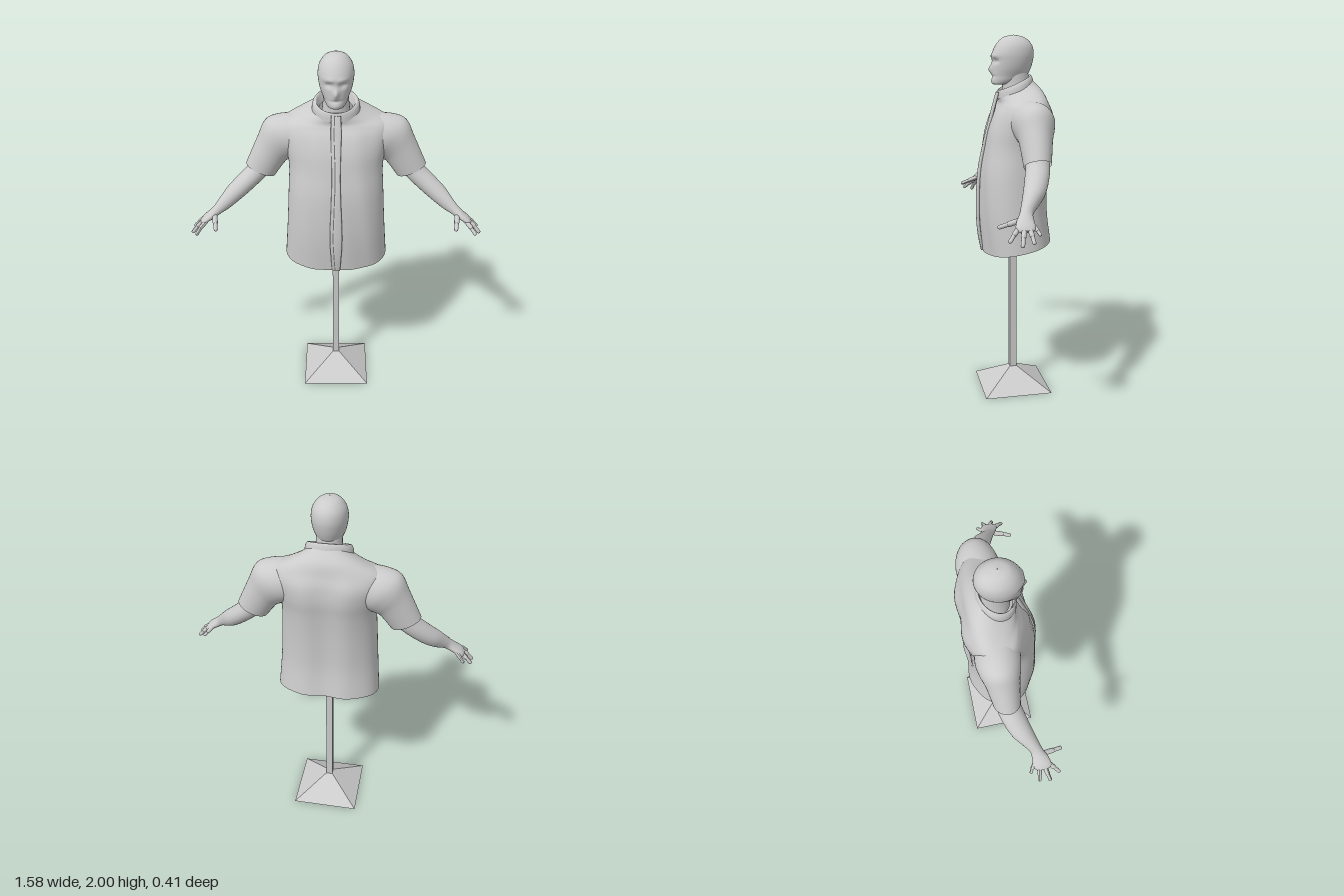
import * as THREE from 'three';
import { mergeGeometries } from 'three/addons/utils/BufferGeometryUtils.js';

const mat = new THREE.MeshStandardMaterial({ color: 0xcccccc });
const cloth = new THREE.MeshStandardMaterial({ color: 0xcccccc, side: THREE.DoubleSide });
const flat = new THREE.MeshStandardMaterial({ color: 0xcccccc, flatShading: true });

// Smooth value between p1 and p2
const spline = (p0, p1, p2, p3, t) => p1 + 0.5 * t * (p2 - p0 + t * (2 * p0 - 5 * p1 + 4 * p2 - p3 + t * (3 * (p1 - p2) + p3 - p0)));
const bump = (d, s) => Math.exp(-((d / s) ** 2));

// Skin over rings [cx, cy, cz, ux, uy, rz, vy]: centre, half axis in xy, half depth in z, tilt
function loft(rings, { seg = 32, sub = 5, pow = 2, deform } = {}) {
  const at = (i) => rings[Math.min(Math.max(i, 0), rings.length - 1)];
  const rows = (rings.length - 1) * sub, pos = [], idx = [];
  const sq = (v) => Math.sign(v) * Math.abs(v) ** (2 / pow);
  const p = new THREE.Vector3();
  for (let r = 0; r <= rows; r++) {
    const i = Math.min(Math.floor(r / sub), rings.length - 2), t = r / sub - i;
    const [cx, cy, cz, ux, uy, rz, vy] = at(i).map((v, k) => spline(at(i - 1)[k], v, at(i + 1)[k], at(i + 2)[k], t));
    for (let j = 0; j < seg; j++) {
      const a = (j / seg) * Math.PI * 2, c = sq(Math.cos(a)), s = sq(Math.sin(a));
      p.set(cx + ux * c, cy + uy * c + vy * s, cz + rz * s);
      if (deform) deform(p);
      pos.push(p.x, p.y, p.z);
      if (r < rows) {
        const k = r * seg + j, n = r * seg + (j + 1) % seg;
        idx.push(k, k + seg, n, n, k + seg, n + seg);
      }
    }
  }
  const g = new THREE.BufferGeometry();
  g.setAttribute('position', new THREE.Float32BufferAttribute(pos, 3));
  g.setIndex(idx);
  g.computeVertexNormals();
  return g;
}

// Copy across x = 0, keeping faces outward
function mirrored(geo) {
  const g = geo.clone().scale(-1, 1, 1);
  const ix = g.index.array;
  for (let i = 0; i < ix.length; i += 3) [ix[i], ix[i + 1]] = [ix[i + 1], ix[i]];
  g.computeVertexNormals();
  return g;
}

// Rounded rod between two points
function rod(a, b, r) {
  const A = new THREE.Vector3(...a), d = new THREE.Vector3(...b).sub(A);
  const g = new THREE.CapsuleGeometry(r, d.length(), 5, 10);
  g.applyQuaternion(new THREE.Quaternion().setFromUnitVectors(new THREE.Vector3(0, 1, 0), d.clone().normalize()));
  const m = A.addScaledVector(d, 0.5);
  g.deleteAttribute('uv');
  return g.translate(m.x, m.y, m.z);
}

const upright = (y, z, w, rz, tilt = 0) => [0, y, z, w, 0, rz, tilt];
const slanted = (ox, oy, ix, iy, z, rz) => [(ox + ix) / 2, (oy + iy) / 2, z, (ix - ox) / 2, (iy - oy) / 2, rz, 0];

export function createModel() {
  const model = new THREE.Group();
  const add = (name, geo, material = mat) => {
    const m = new THREE.Mesh(geo, material);
    m.name = name;
    model.add(m);
    return m;
  };
  const addPair = (name, geo, material) => {
    add('left' + name, geo, material);
    add('right' + name, mirrored(geo), material);
  };

  // Stand
  const base = new THREE.CylinderGeometry(0.02 * Math.SQRT2, 0.19 * Math.SQRT2, 0.11, 4);
  add('standBase', base.rotateY(Math.PI / 4).translate(0, 0.055, 0), flat);
  add('standPole', new THREE.BoxGeometry(0.038, 1.58, 0.038).translate(0, 0.88, 0), flat);

  // Shirt body, open at the hem, with soft folds and a hollow down the back
  add('shirtBody', loft([
    upright(0.86, -0.01, 0.285, 0.185, -0.035),
    upright(1.05, 0.008, 0.27, 0.183, -0.012),
    upright(1.25, 0.004, 0.258, 0.182),
    upright(1.4, -0.015, 0.252, 0.176),
    upright(1.5, -0.032, 0.27, 0.173),
    upright(1.58, -0.045, 0.29, 0.156),
    upright(1.635, -0.047, 0.28, 0.13, -0.01),
    upright(1.675, -0.04, 0.2, 0.115, -0.03),
    upright(1.71, -0.02, 0.125, 0.098, -0.04),
    upright(1.735, -0.01, 0.1, 0.085, -0.04),
  ], {
    seg: 72, pow: 2.35, deform: (p) => {
      const low = 1 - THREE.MathUtils.smoothstep(p.y, 1.55, 1.7);
      if (p.z < 0) p.z += low * (0.014 * bump(p.x, 0.06) - 0.005 * bump(Math.abs(p.x) - 0.12, 0.05));
      else p.z += low * 0.004 * Math.sin(p.x * 34 + p.y * 7) * bump(Math.abs(p.x) - 0.13, 0.09);
    },
  }), cloth);

  // Collar, folded over at the top
  add('collar', loft([
    upright(1.7, -0.015, 0.126, 0.1, -0.038),
    upright(1.73, -0.012, 0.122, 0.096, -0.04),
    upright(1.748, -0.01, 0.112, 0.09, -0.04),
    upright(1.745, -0.01, 0.1, 0.083, -0.04),
    upright(1.7, -0.01, 0.088, 0.075, -0.035),
  ], { seg: 48 }), cloth);

  // Front placket: two overlapping strips from collar to hem
  const path = [[1.7, 0.08, 0.016], [1.6, 0.108, 0.019], [1.4, 0.16, 0.014], [1.25, 0.187, 0.018],
    [1.05, 0.195, 0.025], [0.92, 0.187, 0.02], [0.825, 0.17, 0.014]].reverse();
  [[-0.008, 0, 'placketUnder'], [0.009, 0.005, 'placketOver']].forEach(([x, dz, name]) =>
    add(name, loft(path.map(([y, z, w]) => [x, y, z + dz, w, 0, 0.009, 0]), { seg: 16, pow: 3 }), cloth));

  // Sleeves
  addPair('Sleeve', loft([
    slanted(0.22, 1.662, 0.16, 1.45, -0.05, 0.11),
    slanted(0.31, 1.652, 0.2, 1.43, -0.055, 0.112),
    slanted(0.375, 1.622, 0.245, 1.41, -0.055, 0.1),
    slanted(0.42, 1.53, 0.275, 1.39, -0.05, 0.085),
    slanted(0.487, 1.385, 0.333, 1.312, -0.043, 0.07),
  ], { seg: 40 }), cloth);

  // Arm down to the palm
  const arm = loft([
    slanted(0.42, 1.47, 0.31, 1.39, -0.05, 0.055),
    slanted(0.468, 1.38, 0.375, 1.315, -0.04, 0.062),
    slanted(0.53, 1.318, 0.45, 1.248, -0.018, 0.062),
    slanted(0.59, 1.262, 0.525, 1.19, 0.012, 0.056),
    slanted(0.63, 1.215, 0.585, 1.152, 0.045, 0.042),
    slanted(0.66, 1.178, 0.625, 1.134, 0.068, 0.034),
    slanted(0.69, 1.149, 0.662, 1.112, 0.08, 0.042),
    slanted(0.722, 1.122, 0.702, 1.092, 0.086, 0.047),
    slanted(0.737, 1.102, 0.722, 1.084, 0.086, 0.034),
    slanted(0.734, 1.095, 0.732, 1.093, 0.086, 0.002),
  ]);

  // Fingers and thumb: base, joint, tip, radius
  const fingers = [
    [[0.69, 1.12, 0.05], [0.715, 1.095, 0.033], [0.733, 1.077, 0.022], 0.0095],
    [[0.71, 1.11, 0.07], [0.748, 1.078, 0.064], [0.775, 1.05, 0.06], 0.011],
    [[0.71, 1.11, 0.092], [0.752, 1.075, 0.105], [0.781, 1.04, 0.115], 0.0115],
    [[0.7, 1.11, 0.112], [0.73, 1.083, 0.143], [0.751, 1.056, 0.167], 0.011],
    [[0.66, 1.135, 0.09], [0.65, 1.115, 0.15], [0.642, 1.1, 0.195], 0.0125],
  ].map(([a, b, c, r]) => mergeGeometries([rod(a, b, r * 1.12), rod(b, c, r * 0.88)]));
  addPair('Arm', arm);
  addPair('Fingers', mergeGeometries(fingers));

  // Neck
  add('neck', loft([
    upright(1.66, -0.02, 0.078, 0.075),
    upright(1.74, -0.018, 0.068, 0.074),
    upright(1.82, -0.01, 0.066, 0.072),
  ]));

  // Head with a simple face
  add('head', loft([
    upright(1.738, 0.075, 0.004, 0.004),
    upright(1.742, 0.066, 0.036, 0.042),
    upright(1.758, 0.04, 0.054, 0.072),
    upright(1.785, 0.018, 0.066, 0.094),
    upright(1.82, 0.008, 0.08, 0.104),
    upright(1.86, 0.002, 0.089, 0.111),
    upright(1.9, -0.001, 0.092, 0.114),
    upright(1.94, -0.006, 0.085, 0.102),
    upright(1.97, -0.007, 0.067, 0.08),
    upright(1.99, -0.006, 0.042, 0.05),
    upright(2.0, -0.005, 0.002, 0.002),
  ], {
    seg: 80, sub: 6, deform: (p) => {
      if (p.z < 0) return;
      const ax = Math.abs(p.x);
      p.z += 0.02 * bump(p.x, 0.014) * bump(p.y - 1.82, 0.024) // nose
        + 0.006 * bump(ax - 0.03, 0.03) * bump(p.y - 1.888, 0.012) // brow
        - 0.013 * bump(ax - 0.036, 0.02) * bump(p.y - 1.862, 0.014) // eye sockets
        - 0.006 * bump(p.x, 0.03) * bump(p.y - 1.782, 0.006) // mouth
        + 0.005 * bump(p.x, 0.025) * bump(p.y - 1.758, 0.012); // chin
    },
  }));

  return model;
}
